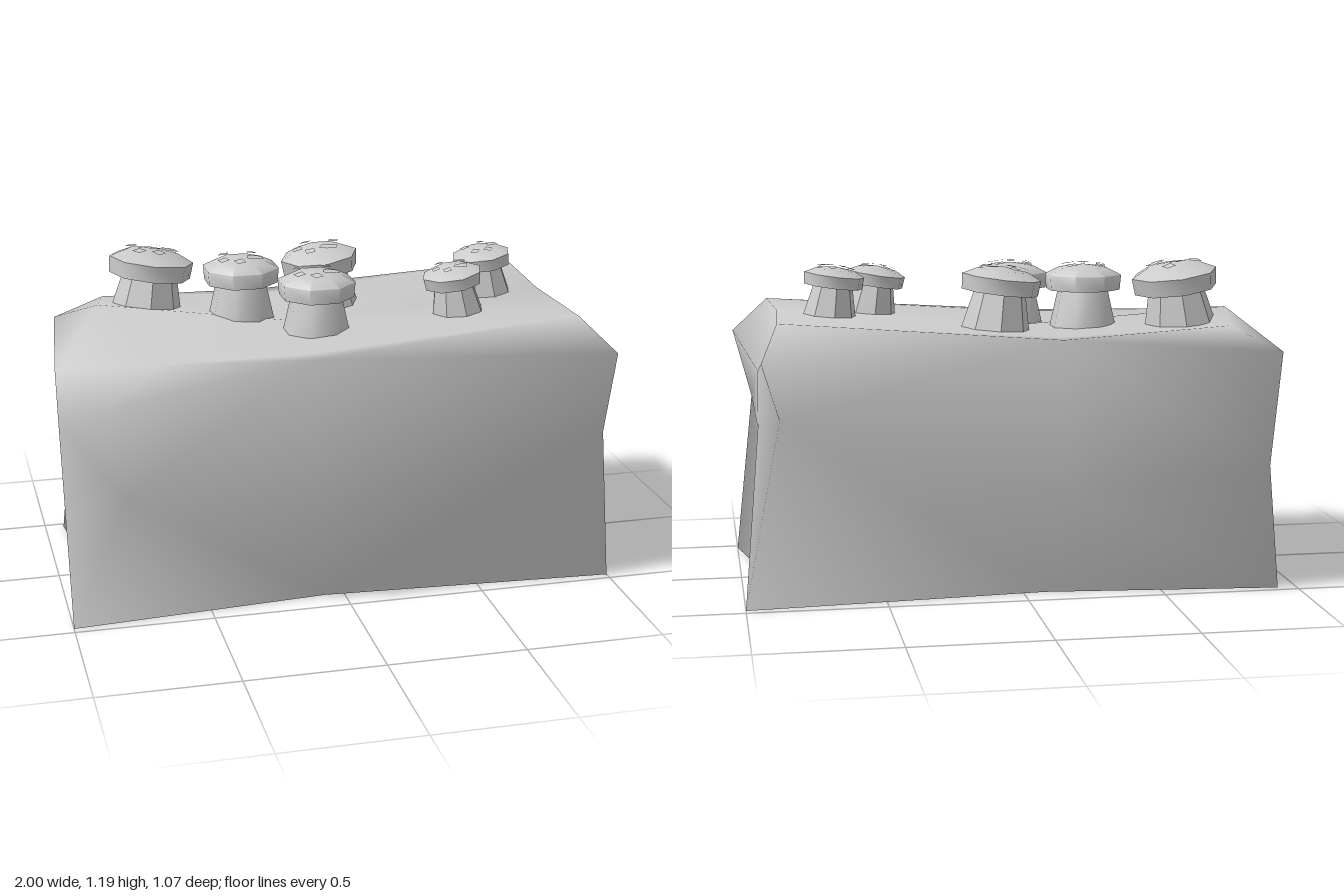
import * as THREE from 'three';
import { toCreasedNormals } from 'three/addons/utils/BufferGeometryUtils.js';

const material = new THREE.MeshStandardMaterial({ color: 0xcccccc, side: THREE.DoubleSide });

function addMesh(parent, name, geometry) {
  const mesh = new THREE.Mesh(geometry, material);
  mesh.name = name;
  parent.add(mesh);
  return mesh;
}

// Rock: rings of eight points, each running
// front left, front, front right, right, back right, back, back left, left
const rings = [
  // open foot
  [[-1, 0, .47], [-.07, 0, .4], [1, 0, .47], [.87, 0, -.13],
    [1, 0, -.47], [-.08, 0, -.39], [-.93, 0, -.47], [-.87, 0, -.07]],
  // belly
  [[-.8, .47, .47], [-.13, .4, .535], [.93, .6, .535], [.935, .6, -.2],
    [.87, .67, -.47], [-.13, .4, -.535], [-.87, .47, -.535], [-1, .68, .25]],
  // shoulder
  [[-.87, .8, .47], [-.13, .93, .47], [1, .87, .47], [.93, .8, -.16],
    [.93, .87, -.47], [-.13, .93, -.47], [-.93, .87, -.47], [-1, .87, .2]],
  // top edge
  [[-.67, .93, .4], [-.13, .93, .4], [.87, 1, .4], [.85, 1, 0],
    [.87, 1, -.4], [-.13, .93, -.4], [-.75, .96, -.4], [-.8, 1, -.15]],
];

function rockGeometry() {
  const n = 8;
  const points = [...rings.flat(), [-.07, .93, 0]].map((p) => new THREE.Vector3(...p));
  const index = [];
  // splits a quad along its shorter diagonal
  const addQuad = (a, b, c, d) => {
    if (points[a].distanceTo(points[c]) < points[b].distanceTo(points[d])) index.push(a, b, c, a, c, d);
    else index.push(a, b, d, b, c, d);
  };
  const top = (rings.length - 1) * n;
  for (let j = 0; j < n; j++) {
    const k = (j + 1) % n;
    for (let i = 0; i < top; i += n) addQuad(i + j, i + k, i + n + k, i + n + j);
    index.push(top + j, top + k, points.length - 1);
  }
  const geometry = new THREE.BufferGeometry().setFromPoints(points);
  geometry.setIndex(index);
  geometry.computeVertexNormals();
  return geometry;
}

// Mushroom: eight-sided tapered stem, domed cap and small square spots
const capProfile = [[.085, .135], [.138, .135], [.143, .19], [.09, .216], [0, .228]]
  .map(([r, y]) => new THREE.Vector2(r, y));
const spots = [[-.055, -.05], [.05, -.05], [-.07, .035], [.035, .035], [.06, .03], [-.015, .07]];

function createMushroom({ at, scale, yaw = 0, tiltX = 0, tiltZ = 0, smooth = false }) {
  const group = new THREE.Group();
  group.name = 'mushroom';

  const stem = new THREE.CylinderGeometry(.092, .135, .19, 8, 1, true, Math.PI / 8);
  stem.translate(0, .045, 0);
  addMesh(group, 'stem', toCreasedNormals(stem, smooth ? 0.9 : 0.5));

  const cap = new THREE.LatheGeometry(capProfile, 8, Math.PI / 8);
  addMesh(group, 'cap', toCreasedNormals(cap, smooth ? 1.3 : 0.9));

  spots.forEach(([x, z], i) => {
    const spot = new THREE.PlaneGeometry(.034, .034);
    spot.rotateX(-Math.PI / 2);
    spot.rotateY((i % 3 - 1) * .3);
    const mesh = addMesh(group, 'capSpot', spot);
    mesh.position.set(x, .24 - Math.hypot(x, z) * .17, z);
    mesh.rotation.set(z * 2.5, 0, -x * 2.5);
  });

  group.position.set(...at);
  group.scale.setScalar(scale);
  group.rotation.set(tiltX, yaw, tiltZ, 'ZXY');
  return group;
}

const mushrooms = [
  { at: [-.61, .93, -.23], scale: 1.1, yaw: .35, tiltX: -.05, tiltZ: -.14 },
  { at: [-.27, .935, -.105], scale: 1, smooth: true },
  { at: [.07, .935, -.19], scale: 1.02, yaw: -.4, tiltZ: .12 },
  { at: [-.035, .925, .115], scale: 1, smooth: true },
  { at: [.495, .97, .13], scale: .78, yaw: -.3, tiltZ: .16 },
  { at: [.66, .985, -.05], scale: .78, yaw: .5, tiltZ: .13 },
];

export function createModel() {
  const model = new THREE.Group();
  model.name = 'mushroomRock';
  addMesh(model, 'rock', rockGeometry());
  mushrooms.forEach((m) => model.add(createMushroom(m)));
  return model;
}
